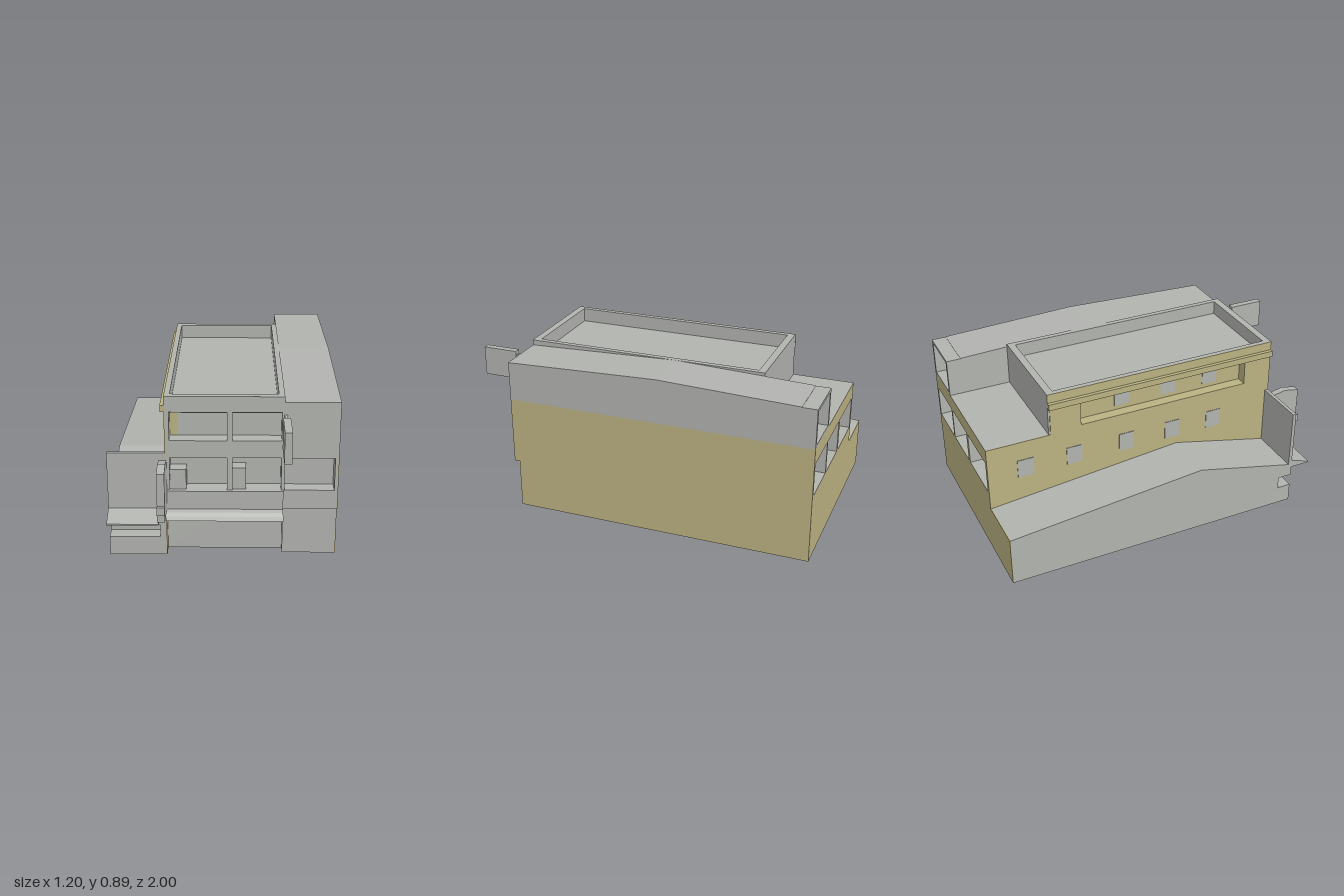
import * as THREE from 'three';

export function createModel() {
  const group = new THREE.Group();
  const grey = new THREE.MeshStandardMaterial({ color: 0xb1b3af });
  grey.name = 'concrete grey';
  const tan = new THREE.MeshStandardMaterial({ color: 0xbab282 });
  tan.name = 'sand render';

  const add = (name, geo, mat) => {
    const mesh = new THREE.Mesh(geo, mat);
    mesh.name = name;
    group.add(mesh);
    return mesh;
  };
  // Box given by its limits on each axis
  const box = (name, mat, x0, x1, y0, y1, z0, z1) => {
    const geo = new THREE.BoxGeometry(x1 - x0, y1 - y0, z1 - z0);
    geo.translate((x0 + x1) / 2, (y0 + y1) / 2, (z0 + z1) / 2);
    return add(name, geo, mat);
  };
  // Outline with rectangular holes [u0, u1, v0, v1]
  const outline = (pts, holes = []) => {
    const shape = new THREE.Shape(pts.map(p => new THREE.Vector2(...p)));
    for (const [a, b, c, d] of holes) {
      shape.holes.push(new THREE.Path([[a, c], [a, d], [b, d], [b, c]].map(p => new THREE.Vector2(...p))));
    }
    return shape;
  };
  const extrude = (shape, depth) => new THREE.ExtrudeGeometry(shape, { depth, bevelEnabled: false });
  // Wall facing front or back, outline in (x, y)
  const wallZ = (name, mat, pts, holes, z0, z1) =>
    add(name, extrude(outline(pts, holes), z1 - z0).translate(0, 0, z0), mat);
  // Profile in (z, y) swept across x
  const sweepX = (name, mat, pts, holes, x0, x1) =>
    add(name, extrude(outline(pts, holes), x1 - x0).rotateY(-Math.PI / 2).translate(x1, 0, 0), mat);
  const rect = (a, b, c, d) => [[a, c], [b, c], [b, d], [a, d]];

  // Main body and penthouse
  box('mainBody', grey, -0.295, 0.595, 0, 0.65, -0.92, 0.62);
  box('penthouse', grey, -0.235, 0.315, 0.65, 0.815, -0.64, 0.66);
  box('penthouseBack', grey, -0.295, 0.315, 0.65, 0.815, -0.65, -0.64);
  box('lowerRightFront', grey, 0.315, 0.595, 0, 0.275, 0.62, 0.67);

  // Front facade with recessed windows
  const lowerWindows = [[-0.275, 0.022, 0.38, 0.56], [0.05, 0.303, 0.38, 0.56], [0.32, 0.58, 0.38, 0.56]];
  const upperWindows = [[-0.275, 0.022, 0.655, 0.81], [0.05, 0.303, 0.655, 0.81]];
  // The penthouse core must stay behind the windows
  group.getObjectByName('penthouse').geometry.scale(1, 1, 1.26 / 1.3).translate(0, 0, -0.02);
  wallZ('frontFacade', grey,
    [[-0.295, 0.275], [0.595, 0.275], [0.595, 0.65], [0.315, 0.65], [0.315, 0.815], [-0.295, 0.815]],
    [...lowerWindows, ...upperWindows], 0.62, 0.7);
  box('windowBoxLeft', grey, -0.275, -0.19, 0.38, 0.49, 0.62, 0.69);
  box('windowBoxRight', grey, 0.05, 0.12, 0.38, 0.5, 0.62, 0.69);

  // Back wall: rendered face, grey reveals
  wallZ('backWall', [tan, grey], rect(-0.295, 0.595, 0, 0.65), lowerWindows, -1, -0.92);

  // Thin rendered side skins
  box('sideSkinLower', tan, 0.595, 0.6, 0, 0.275, -1, 0.67);
  box('sideSkinUpper', tan, 0.595, 0.6, 0.275, 0.65, -1, 0.7);
  box('innerSideSkin', tan, -0.3, -0.295, 0, 0.65, -1, 0.7);
  box('innerSideCorner', tan, -0.3, -0.295, 0.65, 0.815, 0.62, 0.7);

  // Loggia along the upper side wall
  sweepX('loggiaWall', tan, rect(-0.64, 0.62, 0.65, 0.815), [[-0.465, 0.535, 0.665, 0.808]], -0.3, -0.235);
  box('loggiaBackSkin', tan, -0.24, -0.235, 0.65, 0.815, -0.465, 0.535);
  box('sideCornice', tan, -0.32, -0.3, 0.81, 0.845, -0.65, 0.7);

  // Small side windows
  for (const z of [-0.79, -0.51, -0.2, 0.08, 0.34]) {
    box('sideWindow', grey, -0.303, -0.299, 0.435, 0.54, z - 0.045, z + 0.045);
  }
  for (const z of [-0.2, 0.08, 0.34]) {
    box('loggiaWindow', grey, -0.243, -0.239, 0.69, 0.79, z - 0.045, z + 0.045);
  }

  // Roof parapet around the sunken penthouse roof
  box('penthouseRoof', grey, -0.28, 0.3, 0.8, 0.817, -0.63, 0.68);
  add('parapet', extrude(outline(rect(-0.295, 0.315, -0.65, 0.7), [[-0.27, 0.285, -0.61, 0.66]]), 0.08)
    .rotateX(Math.PI / 2).translate(0, 0.895, 0), grey);
  box('parapetSkin', tan, -0.3, -0.295, 0.815, 0.895, -0.65, 0.7);

  // Tall side wing with a gently ridged roof and a niche at the back
  sweepX('sideWing', grey,
    [[-0.92, 0.65], [0.7, 0.65], [0.7, 0.865], [-0.15, 0.895], [-0.92, 0.868]], [], 0.315, 0.6);
  wallZ('sideWingNiche', grey, rect(0.315, 0.6, 0.65, 0.866), [[0.335, 0.58, 0.665, 0.85]], -1, -0.92);

  // Low annex with folded roof and a front slot
  sweepX('annex', grey, [[-0.995, 0], [0.7, 0], [0.7, 0.105], [0.62, 0.105], [0.62, 0.175], [0.7, 0.175],
    [0.7, 0.25], [0.68, 0.25], [0.11, 0.385], [-0.995, 0.28]], [], -0.6, -0.3);
  box('annexBackSkin', tan, -0.6, -0.3, 0, 0.28, -1, -0.995);
  box('annexSlotEnd', grey, -0.33, -0.297, 0.1, 0.18, 0.61, 0.7);
  box('annexScreen', grey, -0.6, -0.3, 0.24, 0.585, 0.68, 0.7);
  sweepX('annexCanopy', grey, [[0.69, 0.228], [0.815, 0.228], [0.815, 0.235], [0.7, 0.272], [0.69, 0.272]],
    [], -0.6, -0.33);

  // Band and rounded ledge over the entrance
  box('entranceBand', grey, -0.29, 0.315, 0.275, 0.38, 0.69, 0.72);
  sweepX('entranceLedge', grey, [[0.67, 0.235], [0.775, 0.235], [0.765, 0.255], [0.745, 0.27], [0.72, 0.278],
    [0.67, 0.278]], [], -0.295, 0.315);

  // Upright blade sign with a peaked top
  sweepX('uprightSign', grey, [[0.715, 0.285], [0.89, 0.285], [0.89, 0.55], [0.8, 0.567], [0.715, 0.55]],
    [], -0.33, -0.29);
  box('uprightSignKnob', grey, -0.33, -0.29, 0.33, 0.375, 0.89, 0.91);
  box('uprightSignMount', grey, -0.32, -0.295, 0.33, 0.375, 0.695, 0.72);

  // Hanging sign on two arms
  box('hangingSign', grey, 0.302, 0.34, 0.655, 0.82, 0.8, 1);
  for (const y of [0.685, 0.79]) box('signArm', grey, 0.313, 0.329, y - 0.008, y + 0.008, 0.69, 0.805);

  return group;
}
